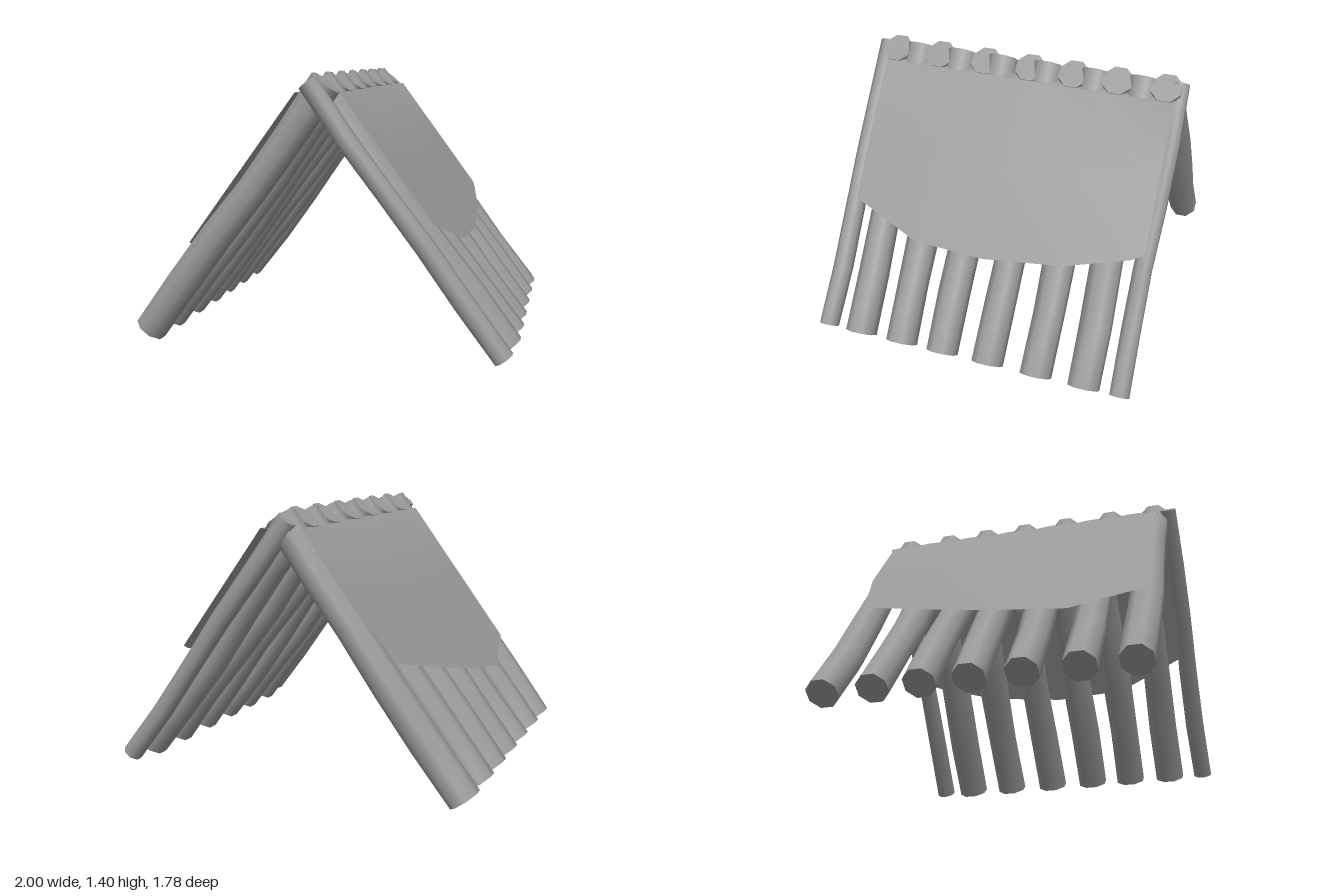
import * as THREE from 'three';
import { toCreasedNormals } from 'three/addons/utils/BufferGeometryUtils.js';

const material = new THREE.MeshStandardMaterial({ color: 0x999999 });
const clothMaterial = new THREE.MeshStandardMaterial({ color: 0x999999, side: THREE.DoubleSide });

// A leaning eight-sided log, slightly bent; side = +1 has its foot at +x
function makeLog(side, z, radius, i) {
  const foot = new THREE.Vector3(0.935 * side, 0.05, z);
  const tip = new THREE.Vector3(-0.035 * side, 1.36, z);
  const length = foot.distanceTo(tip);
  const geo = new THREE.CylinderGeometry(radius, radius, length, 8, 5);
  geo.rotateY(Math.PI / 8);
  const pos = geo.attributes.position;
  for (let k = 0; k < pos.count; k++) {
    const t = pos.getY(k) / length + 0.5;
    const bow = Math.sin(Math.PI * t);
    const swell = 1 + 0.05 * Math.sin(t * 7 + i * 2.1) * bow;
    const sag = (0.01 * Math.sin(t * 6.3 + i * 1.7) - 0.008) * bow;
    pos.setX(k, pos.getX(k) * swell + side * sag);
    pos.setZ(k, pos.getZ(k) * swell + 0.012 * Math.sin(t * 5 + i * 1.3) * bow);
  }
  const log = new THREE.Mesh(toCreasedNormals(geo, 1.0), material);
  log.position.copy(foot).add(tip).multiplyScalar(0.5);
  log.rotation.z = side * Math.atan2(0.97, 1.31);
  return log;
}

// Sheet folded over the ridge, with an uneven lower hem on each side
function makeCover() {
  // z, lower hem x on the right slope (-x), lower hem x on the left slope (+x)
  const columns = [
    [0.79, -0.69, 0.58], [0.4, -0.765, 0.68], [0, -0.715, 0.69],
    [-0.43, -0.645, 0.66], [-0.77, -0.58, 0.6], [-0.835, -0.37, 0.58],
  ];
  const topX = 0.115, topY = 1.31, slope = 1.35, steps = [0, 0.5, 1];
  const points = [], index = [];
  const add = (x, z) => points.push(x, topY - (Math.abs(x) - topX) * slope, z);
  for (const [z, hemA, hemB] of columns) {
    for (const t of steps) add(THREE.MathUtils.lerp(hemA, -topX, t), z);
    for (const t of steps) add(THREE.MathUtils.lerp(topX, hemB, t), z);
  }
  const n = steps.length * 2;
  for (let c = 0; c < columns.length - 1; c++) {
    for (let r = 0; r < n - 1; r++) {
      const a = c * n + r, b = a + 1, d = a + n, e = d + 1;
      index.push(a, b, e, a, e, d);
    }
  }
  const geo = new THREE.BufferGeometry();
  geo.setAttribute('position', new THREE.Float32BufferAttribute(points, 3));
  geo.setIndex(index);
  geo.computeVertexNormals();
  return new THREE.Mesh(geo, clothMaterial);
}

export function createModel() {
  const model = new THREE.Group();
  model.name = 'leanToShelter';

  // Seven logs on the right slope
  const rightLogs = new THREE.Group();
  rightLogs.name = 'rightLogs';
  [0.755, 0.495, 0.225, -0.03, -0.275, -0.515, -0.775].forEach((z, i) => {
    const log = makeLog(-1, z, 0.085, i);
    log.name = 'rightLog';
    rightLogs.add(log);
  });

  // Eight logs on the left slope, thinner at both ends
  const leftLogs = new THREE.Group();
  leftLogs.name = 'leftLogs';
  [0.835, 0.635, 0.39, 0.15, -0.11, -0.38, -0.64, -0.83].forEach((z, i) => {
    const log = makeLog(1, z, i === 0 || i === 7 ? 0.053 : 0.085, i + 3);
    log.name = 'leftLog';
    leftLogs.add(log);
  });

  const cover = makeCover();
  cover.name = 'cover';
  model.add(rightLogs, leftLogs, cover);
  return model;
}
